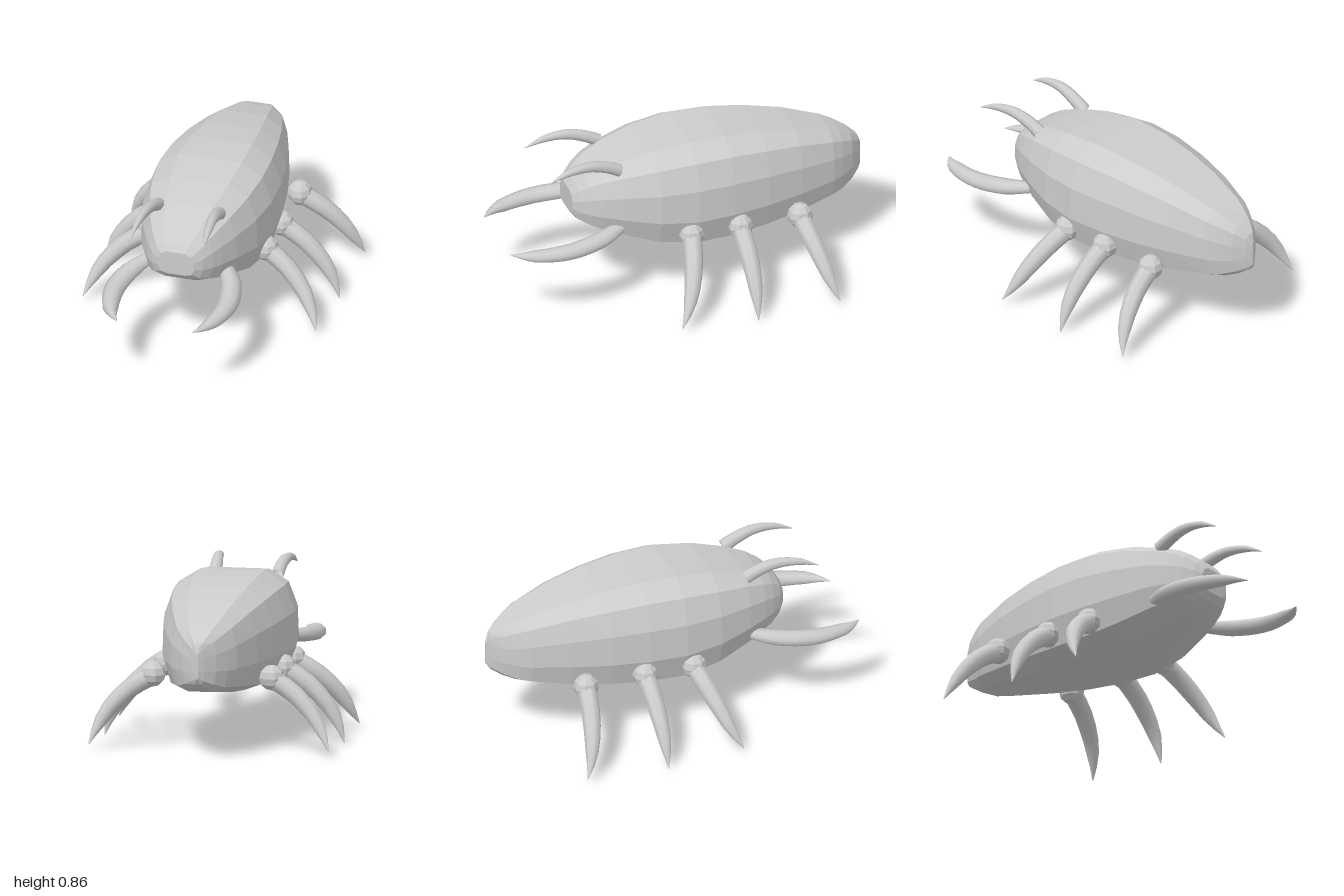
import * as THREE from 'three';

const grey = new THREE.MeshStandardMaterial({ color: 0xcccccc, side: THREE.DoubleSide });
const flatGrey = new THREE.MeshStandardMaterial({ color: 0xcccccc, flatShading: true });

// Body stations from tail to nose: z, half width, bottom y, top y
const STATIONS = [
  [-1, 0.006, 0.45, 0.58], [-0.98, 0.035, 0.42, 0.63], [-0.93, 0.09, 0.39, 0.67],
  [-0.86, 0.14, 0.36, 0.71], [-0.8, 0.175, 0.35, 0.735], [-0.6, 0.245, 0.318, 0.795],
  [-0.4, 0.295, 0.295, 0.832], [-0.2, 0.328, 0.281, 0.855], [0, 0.34, 0.28, 0.857],
  [0.2, 0.315, 0.313, 0.832], [0.38, 0.26, 0.375, 0.787], [0.48, 0.215, 0.41, 0.75],
  [0.54, 0.18, 0.435, 0.715], [0.59, 0.14, 0.465, 0.67], [0.62, 0.1, 0.5, 0.63],
];
// Right half of the unit cross-section, from underside to back
const HALF = [[0.48, 0], [0.87, 0.08], [1, 0.33], [0.98, 0.64], [0.83, 0.88], [0.5, 1]];

function bodyGeometry() {
  const ring = [...HALF, ...HALF.map(([x, t]) => [-x, t]).reverse()];
  const n = ring.length;
  const positions = [];
  const index = [];
  for (const [z, w, y0, y1] of STATIONS) {
    for (const [x, t] of ring) positions.push(x * w, y0 + t * (y1 - y0), z);
  }
  const last = STATIONS.length - 1;
  for (let i = 0; i < last; i++) {
    for (let j = 0; j < n; j++) {
      const k = (j + 1) % n;
      const a = i * n + j, b = i * n + k, c = b + n, d = a + n;
      index.push(a, b, c, a, c, d);
    }
  }
  // Close the tail and nose
  const tail = (last + 1) * n;
  const nose = tail + 1;
  positions.push(0, 0.515, -1, 0, 0.565, 0.62);
  for (let j = 0; j < n; j++) {
    const k = (j + 1) % n;
    index.push(tail, k, j, nose, last * n + j, last * n + k);
  }
  const geometry = new THREE.BufferGeometry();
  geometry.setAttribute('position', new THREE.Float32BufferAttribute(positions, 3));
  geometry.setIndex(index);
  geometry.computeVertexNormals();
  return geometry;
}

// Curved horn: a tube whose rings shrink along its length, optionally flattened in y
function horn(name, points, radii, { steps = 12, sides = 8, flatten = 1 } = {}) {
  const path = new THREE.CatmullRomCurve3(points.map((p) => new THREE.Vector3(...p)));
  const geometry = new THREE.TubeGeometry(path, steps, 1, sides);
  const pos = geometry.attributes.position;
  const v = new THREE.Vector3();
  for (let i = 0; i <= steps; i++) {
    const centre = path.getPointAt(i / steps);
    const f = (i / steps) * (radii.length - 1);
    const k = Math.min(Math.floor(f), radii.length - 2);
    const r = THREE.MathUtils.lerp(radii[k], radii[k + 1], f - k);
    for (let j = 0; j <= sides; j++) {
      const id = i * (sides + 1) + j;
      v.fromBufferAttribute(pos, id).sub(centre).multiplyScalar(r);
      v.y *= flatten;
      v.add(centre);
      pos.setXYZ(id, v.x, v.y, v.z);
    }
  }
  const mesh = new THREE.Mesh(geometry, grey);
  mesh.name = name;
  return mesh;
}

export function createModel() {
  const model = new THREE.Group();
  model.name = 'beetle';

  const body = new THREE.Mesh(bodyGeometry(), flatGrey);
  body.name = 'body';
  model.add(body);

  // Joint z, tip z and tip height of each leg pair
  const legs = [
    ['front', 0.04, 0.2, 0.03],
    ['middle', -0.23, -0.22, 0],
    ['rear', -0.56, -0.67, 0.03],
  ];
  const jointGeometry = new THREE.SphereGeometry(0.068, 8, 6).rotateY(Math.PI / 8);

  for (const [side, s] of [['Left', 1], ['Right', -1]]) {
    for (const [pair, z, tipZ, tipY] of legs) {
      const dz = tipZ - z;
      const leg = new THREE.Group();
      leg.name = `${pair}${side}Leg`;
      const joint = new THREE.Mesh(jointGeometry, flatGrey);
      joint.name = 'legJoint';
      joint.position.set(s * 0.315, 0.393, z);
      leg.add(joint, horn('legClaw', [
        [s * 0.32, 0.385, z],
        [s * 0.43, 0.32, z + dz * 0.17],
        [s * 0.54, 0.21, z + dz * 0.45],
        [s * 0.6, 0.11, z + dz * 0.72],
        [s * 0.635, tipY, tipZ],
      ], [0.052, 0.05, 0.046, 0.033, 0.002], { steps: 7 }));
      model.add(leg);
    }

    // Jaws curve out and then inward
    model.add(horn(`jaw${side}`, [
      [s * 0.21, 0.448, 0.4],
      [s * 0.275, 0.43, 0.53],
      [s * 0.306, 0.413, 0.7],
      [s * 0.29, 0.405, 0.83],
      [s * 0.255, 0.4, 0.93],
      [s * 0.205, 0.395, 1],
    ], [0.04, 0.055, 0.057, 0.053, 0.042, 0.002], { steps: 14, sides: 10, flatten: 0.68 }));

    // Feelers arch forward from the top of the head
    model.add(horn(`feeler${side}`, [
      [s * 0.165, 0.765, 0.385],
      [s * 0.17, 0.8, 0.46],
      [s * 0.18, 0.824, 0.56],
      [s * 0.19, 0.812, 0.68],
      [s * 0.197, 0.773, 0.78],
    ], [0.036, 0.032, 0.026, 0.018, 0.002], { steps: 12 }));
  }
  return model;
}
